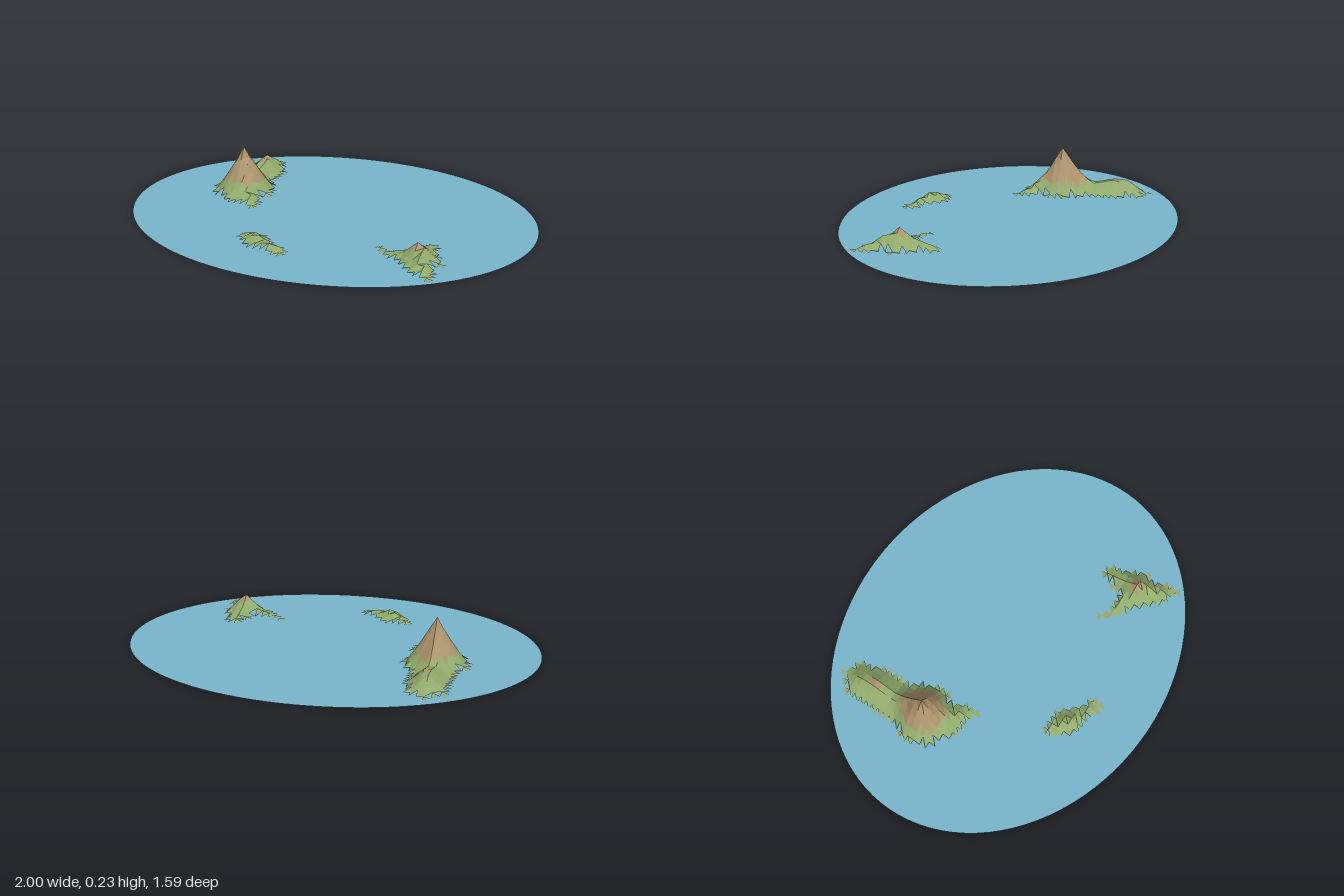
import * as THREE from 'three';

const CELL = 1 / 30;
const mat = (name, color) => {
  const m = new THREE.MeshStandardMaterial({ color, side: THREE.DoubleSide });
  m.name = name;
  return m;
};

// Each island is a set of ridge lines; a ridge point is [x, z, height, half width].
const ISLANDS = {
  mountainIsland: [
    [[-0.57, -0.52, 0.03, 0.06], [-0.56, -0.47, 0.075, 0.1], [-0.55, -0.4, 0.09, 0.1], [-0.55, -0.29, 0.06, 0.1],
      [-0.54, -0.22, 0.12, 0.11], [-0.533, -0.133, 0.23, 0.15]],
    [[-0.533, -0.133, 0.23, 0.15], [-0.51, -0.06, 0.11, 0.11], [-0.45, 0, 0.045, 0.07], [-0.4, 0.05, 0.012, 0.04]],
    [[-0.533, -0.133, 0.22, 0.13], [-0.64, -0.15, 0.02, 0.05]],
  ],
  hillIsland: [
    [[0.575, 0.2, 0.02, 0.04], [0.58, 0.3, 0.06, 0.06], [0.575, 0.367, 0.1, 0.1]],
    [[0.575, 0.367, 0.1, 0.1], [0.61, 0.45, 0.05, 0.065], [0.655, 0.52, 0.015, 0.04]],
    [[0.575, 0.367, 0.1, 0.1], [0.5, 0.35, 0.05, 0.055], [0.42, 0.34, 0.012, 0.04]],
    [[0.36, 0.31, 0.012, 0.03], [0.361, 0.311, 0.012, 0.03]],
  ],
  lowIsland: [
    [[-0.25, 0.4, 0.025, 0.045], [-0.19, 0.45, 0.055, 0.07], [-0.14, 0.48, 0.04, 0.06],
      [-0.08, 0.5, 0.03, 0.045], [-0.02, 0.52, 0.01, 0.035]],
  ],
};

// Slope falling from the ridge line to the shore
function heightAt(ridges, x, z) {
  let best = 0;
  for (const ridge of ridges) {
    for (let i = 0; i < ridge.length - 1; i++) {
      const [ax, az, ah, aw] = ridge[i], [bx, bz, bh, bw] = ridge[i + 1];
      const dx = bx - ax, dz = bz - az;
      const t = THREE.MathUtils.clamp(((x - ax) * dx + (z - az) * dz) / (dx * dx + dz * dz), 0, 1);
      const d = Math.hypot(x - ax - dx * t, z - az - dz * t);
      const fall = Math.max(0, 1 - d / (aw + (bw - aw) * t));
      best = Math.max(best, (ah + (bh - ah) * t) * Math.pow(fall, 1.15));
    }
  }
  return best;
}

// Faceted grid terrain with a ragged, toothed shore
function islandGeometry(ridges) {
  const points = ridges.flat();
  const range = (k) => {
    const v = points.map((p) => p[k]);
    return [Math.floor((Math.min(...v) - 0.17) / CELL), Math.ceil((Math.max(...v) + 0.17) / CELL)];
  };
  const [x0, x1] = range(0), [z0, z1] = range(1);
  const vertex = (i, j) => {
    const x = i * CELL, z = j * CELL;
    return [x, Math.max(0.003, heightAt(ridges, x, z)), z];
  };
  const bands = [[], [], []];
  // The first corner of a facet decides whether it rises from the water
  const facet = (a, b, c) => {
    if (a[1] < 0.005) return;
    const mean = (a[1] + b[1] + c[1]) / 3;
    bands[mean < 0.007 ? 0 : mean < 0.066 ? 1 : 2].push(...a, ...b, ...c);
  };
  for (let j = z0; j < z1; j++) {
    for (let i = x0; i < x1; i++) {
      const a = vertex(i, j), b = vertex(i, j + 1), c = vertex(i + 1, j + 1), d = vertex(i + 1, j);
      facet(a, b, d);
      facet(c, d, b);
    }
  }
  const geo = new THREE.BufferGeometry();
  geo.setAttribute('position', new THREE.Float32BufferAttribute(bands.flat(), 3));
  let start = 0;
  bands.forEach((band, k) => {
    if (band.length) geo.addGroup(start, band.length / 3, k);
    start += band.length / 3;
  });
  geo.computeVertexNormals();
  return geo;
}

export function createModel() {
  const group = new THREE.Group();
  group.name = 'islandLake';

  // Flat oval sheet of water
  const water = new THREE.Mesh(new THREE.CircleGeometry(1, 96).rotateX(-Math.PI / 2), mat('water', 0x78b4cb));
  water.scale.z = 0.795;
  water.name = 'water';
  group.add(water);

  // Islands: shore, grass and rock by height
  const land = [mat('shore', 0xa3a566), mat('grass', 0x92ab6c), mat('rock', 0xac936c)];
  for (const [name, ridges] of Object.entries(ISLANDS)) {
    const island = new THREE.Mesh(islandGeometry(ridges), land);
    island.name = name;
    group.add(island);
  }
  return group;
}
